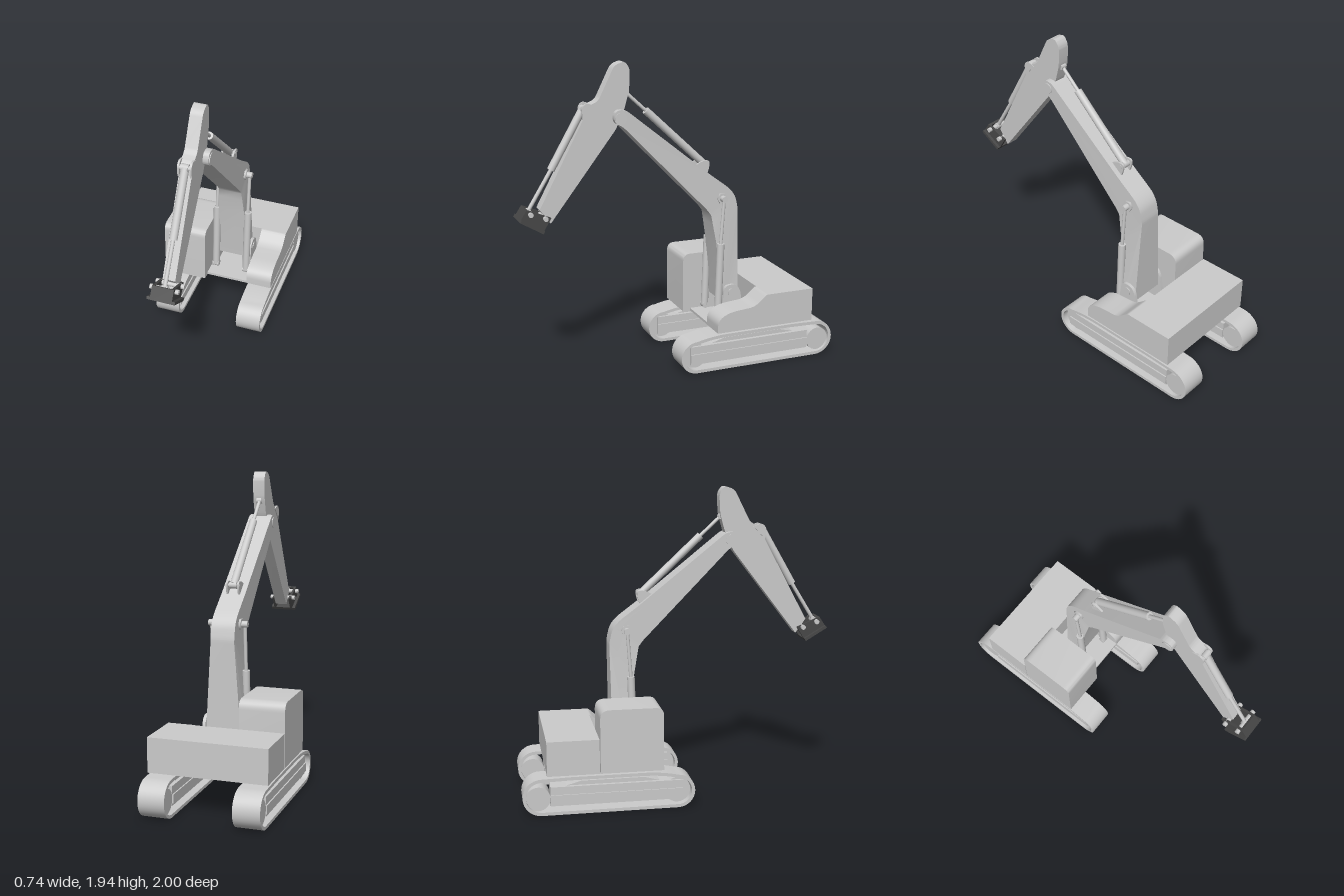
import * as THREE from 'three';
import { toCreasedNormals } from 'three/addons/utils/BufferGeometryUtils.js';

const grey = new THREE.MeshStandardMaterial({ color: 0xcccccc });
const dark = new THREE.MeshStandardMaterial({ color: 0x484848 });
const ARM_X = 0.057; // centre plane of the digging arm

// Closed side outline from [z, y, cornerRadius] points
function outline(points, Type = THREE.Shape) {
  const path = new Type();
  const n = points.length;
  points.forEach(([z, y, r = 0], i) => {
    const p = new THREE.Vector2(z, y);
    const toward = ([qz, qy]) => {
      const d = new THREE.Vector2(qz, qy).sub(p);
      return d.setLength(Math.min(r, d.length() / 2)).add(p);
    };
    const a = toward(points[(i + n - 1) % n]);
    const b = toward(points[(i + 1) % n]);
    if (i === 0) path.moveTo(a.x, a.y);
    else path.lineTo(a.x, a.y);
    if (r) path.quadraticCurveTo(z, y, b.x, b.y);
  });
  path.closePath();
  return path;
}

// Extrudes a side outline across x0..x1
function slab(name, shape, x0, x1, material = grey, rule) {
  let geo = new THREE.ExtrudeGeometry(shape, { depth: x1 - x0, bevelEnabled: false, curveSegments: 8 });
  geo.rotateY(-Math.PI / 2).translate(x1, 0, 0);
  if (rule) {
    const pos = geo.attributes.position;
    for (let i = 0; i < pos.count; i++) pos.setX(i, rule(pos.getX(i), pos.getY(i)));
  }
  geo = toCreasedNormals(geo, 0.6);
  const mesh = new THREE.Mesh(geo, material);
  mesh.name = name;
  return mesh;
}

function box(name, [x0, x1], [y0, y1], [z0, z1], material = grey) {
  const mesh = new THREE.Mesh(new THREE.BoxGeometry(x1 - x0, y1 - y0, z1 - z0), material);
  mesh.position.set((x0 + x1) / 2, (y0 + y1) / 2, (z0 + z1) / 2);
  mesh.name = name;
  return mesh;
}

// Cylinder between two [x, y, z] points
function rod(name, from, to, radius, material = grey, sides = 20) {
  const a = new THREE.Vector3(...from);
  const b = new THREE.Vector3(...to);
  const mesh = new THREE.Mesh(new THREE.CylinderGeometry(radius, radius, a.distanceTo(b), sides), material);
  mesh.position.lerpVectors(a, b, 0.5);
  mesh.quaternion.setFromUnitVectors(new THREE.Vector3(0, 1, 0), b.sub(a).normalize());
  mesh.name = name;
  return mesh;
}

const crossPin = (name, y, z, x0, x1, r, mat, sides) => rod(name, [x0, y, z], [x1, y, z], r, mat, sides);

// Hydraulic ram: wide barrel, thin piston rod and an eye at each end
function ram(name, x, [z0, y0], [z1, y1], [z2, y2], barrel, piston) {
  const g = new THREE.Group();
  g.name = name;
  g.add(
    rod('barrel', [x, y0, z0], [x, y1, z1], barrel),
    rod('piston', [x, y1, z1], [x, y2, z2], piston),
    crossPin('barrelEye', y0, z0, x - 0.022, x + 0.022, barrel * 0.9),
    crossPin('pistonEye', y2, z2, x - 0.018, x + 0.018, piston * 1.7)
  );
  return g;
}

// Belt outline, shrunk by an inset
function beltPath(inset, Type) {
  const path = new Type();
  const front = 0.105 - inset;
  const rear = 0.115 - inset;
  path.moveTo(-0.885, inset);
  path.lineTo(-0.045, inset);
  path.absarc(-0.045, 0.105, front, -Math.PI / 2, Math.PI / 2, false);
  path.quadraticCurveTo(-0.14, 0.234 - inset, -0.25, 0.235 - inset);
  path.lineTo(-0.7, 0.235 - inset);
  path.lineTo(-0.885, 0.23 - inset);
  path.absarc(-0.885, 0.115, rear, Math.PI / 2, Math.PI * 1.5, false);
  return path;
}

function track(name, x0, x1) {
  const g = new THREE.Group();
  g.name = name;
  const belt = beltPath(0, THREE.Shape);
  belt.holes.push(beltPath(0.02, THREE.Path));
  const cx = (x0 + x1) / 2;
  g.add(
    slab('belt', belt, x0, x1),
    box('trackFrame', [x0 + 0.02, x1 - 0.02], [0.05, 0.17], [-0.83, -0.01]),
    box('frameRib', [x0 + 0.012, x1 - 0.012], [0.065, 0.12], [-0.83, -0.01]),
    slab('frameRidge', outline([[-0.14, 0.165], [-0.75, 0.165], [-0.64, 0.195], [-0.25, 0.195]]), cx - 0.04, cx + 0.04),
    crossPin('sprocket', 0.1, -0.905, x0 + 0.02, x1 - 0.02, 0.075, grey, 28),
    crossPin('idler', 0.105, -0.045, x0 + 0.035, x1 - 0.035, 0.08, grey, 28)
  );
  return g;
}

export function createModel() {
  const model = new THREE.Group();
  model.name = 'excavator';

  // Undercarriage
  model.add(track('leftTrack', 0.205, 0.37), track('rightTrack', -0.37, -0.205));

  // Upper body
  model.add(
    box('counterweight', [-0.37, 0.37], [0.245, 0.46], [-0.85, -0.53]),
    box('deck', [-0.085, 0.205], [0.245, 0.262], [-0.535, -0.185]),
    slab('cab', outline([
      [-0.135, 0.245], [-0.135, 0.64, 0.05], [-0.525, 0.64, 0.06], [-0.525, 0.245],
    ]), -0.37, -0.083),
    slab('sideHousing', outline([
      [-0.535, 0.245], [-0.535, 0.46], [-0.52, 0.46, 0.015], [-0.44, 0.39, 0.04],
      [-0.26, 0.375, 0.06], [-0.185, 0.33, 0.06], [-0.185, 0.245],
    ]), 0.197, 0.37)
  );

  // Boom, flaring out towards its foot
  const flare = (x, y) => ARM_X + (x - ARM_X) * (1 + Math.max(0, 0.95 - y) * 0.85);
  model.add(slab('boom', outline([
    [-0.31, 0.37], [-0.267, 0.77], [-0.246, 0.89], [-0.235, 0.95], [-0.21, 0.985, 0.02],
    [0.35, 1.56, 0.03], [0.405, 1.585, 0.04], [0.395, 1.66, 0.04], [0.33, 1.66, 0.03],
    [-0.22, 1.22, 0.04], [-0.395, 1.09, 0.08], [-0.42, 0.98, 0.04], [-0.42, 0.95], [-0.41, 0.37],
  ]), -0.019, 0.133, grey, flare));
  model.add(crossPin('boomTipPin', 1.61, 0.36, -0.024, 0.138, 0.035));

  // Boom foot brackets and lift rams on both sides
  for (const s of [-1, 1]) {
    const x = ARM_X + s * 0.122;
    model.add(
      slab('footBracket', outline([
        [-0.28, 0.25], [-0.31, 0.47, 0.03], [-0.33, 0.49, 0.03], [-0.39, 0.49, 0.03], [-0.42, 0.45, 0.03], [-0.45, 0.25],
      ]), x - 0.01, x + 0.01),
      ram(s > 0 ? 'leftLiftRam' : 'rightLiftRam', ARM_X + s * 0.107,
        [-0.275, 0.29], [-0.29, 0.765], [-0.31, 1.055], 0.024, 0.011)
    );
  }
  model.add(
    crossPin('boomFootPin', 0.44, -0.36, -0.08, 0.194, 0.025),
    crossPin('liftPin', 1.055, -0.31, -0.066, 0.18, 0.02),
    crossPin('liftBoss', 1.055, -0.31, -0.032, 0.146, 0.036, grey, 6)
  );

  // Stick with its ram
  model.add(
    slab('stick', outline([
      [0.32, 1.945, 0.02], [0.385, 1.925, 0.03], [0.49, 1.715, 0.03], [0.555, 1.69, 0.02],
      [0.58, 1.62, 0.02], [0.866, 1.085], [0.8, 0.995], [0.38, 1.54, 0.02],
      [0.325, 1.66, 0.02], [0.294, 1.77, 0.03], [0.288, 1.9, 0.03],
    ]), 0.02, 0.097),
    ram('stickRam', ARM_X, [-0.21, 1.275], [0.175, 1.635], [0.305, 1.755], 0.024, 0.011),
    crossPin('stickRamPin', 1.275, -0.21, 0.012, 0.102, 0.014)
  );
  for (const s of [-1, 1]) {
    const x = ARM_X + s * 0.037;
    model.add(
      slab('stickRamLug', outline([
        [-0.13, 1.27], [-0.19, 1.3, 0.02], [-0.235, 1.3, 0.02], [-0.235, 1.26, 0.02], [-0.215, 1.2],
      ]), x - 0.006, x + 0.006),
      slab('linkRamLug', outline([
        [0.51, 1.69], [0.565, 1.71, 0.02], [0.595, 1.68, 0.02], [0.585, 1.61],
      ]), x - 0.006, x + 0.006)
    );
  }

  // Tool link ram
  model.add(
    ram('linkRam', ARM_X, [0.575, 1.67], [0.78, 1.315], [0.93, 1.072], 0.024, 0.012),
    crossPin('linkRamPin', 1.67, 0.575, 0.014, 0.1, 0.015)
  );

  // Tool coupler: two cheeks, a base plate and two pins
  const coupler = new THREE.Group();
  coupler.name = 'coupler';
  for (const s of [-1, 1]) {
    const x = ARM_X + s * 0.058;
    coupler.add(slab('cheek', outline([
      [0.952, 1.1], [0.998, 1.03], [0.858, 0.947], [0.802, 1.037],
    ]), x - 0.008, x + 0.008, dark));
  }
  coupler.add(
    slab('basePlate', outline([
      [0.988, 1.045], [0.998, 1.03], [0.858, 0.947], [0.848, 0.963],
    ]), -0.028, 0.142, dark),
    slab('frontLip', outline([
      [0.952, 1.1], [0.998, 1.03], [0.985, 1.022], [0.939, 1.092],
    ]), 0, 0.114, dark),
    crossPin('linkPin', 1.07, 0.93, -0.03, 0.144, 0.015),
    crossPin('stickPin', 1.037, 0.84, -0.03, 0.144, 0.015)
  );
  model.add(coupler);

  return model;
}
